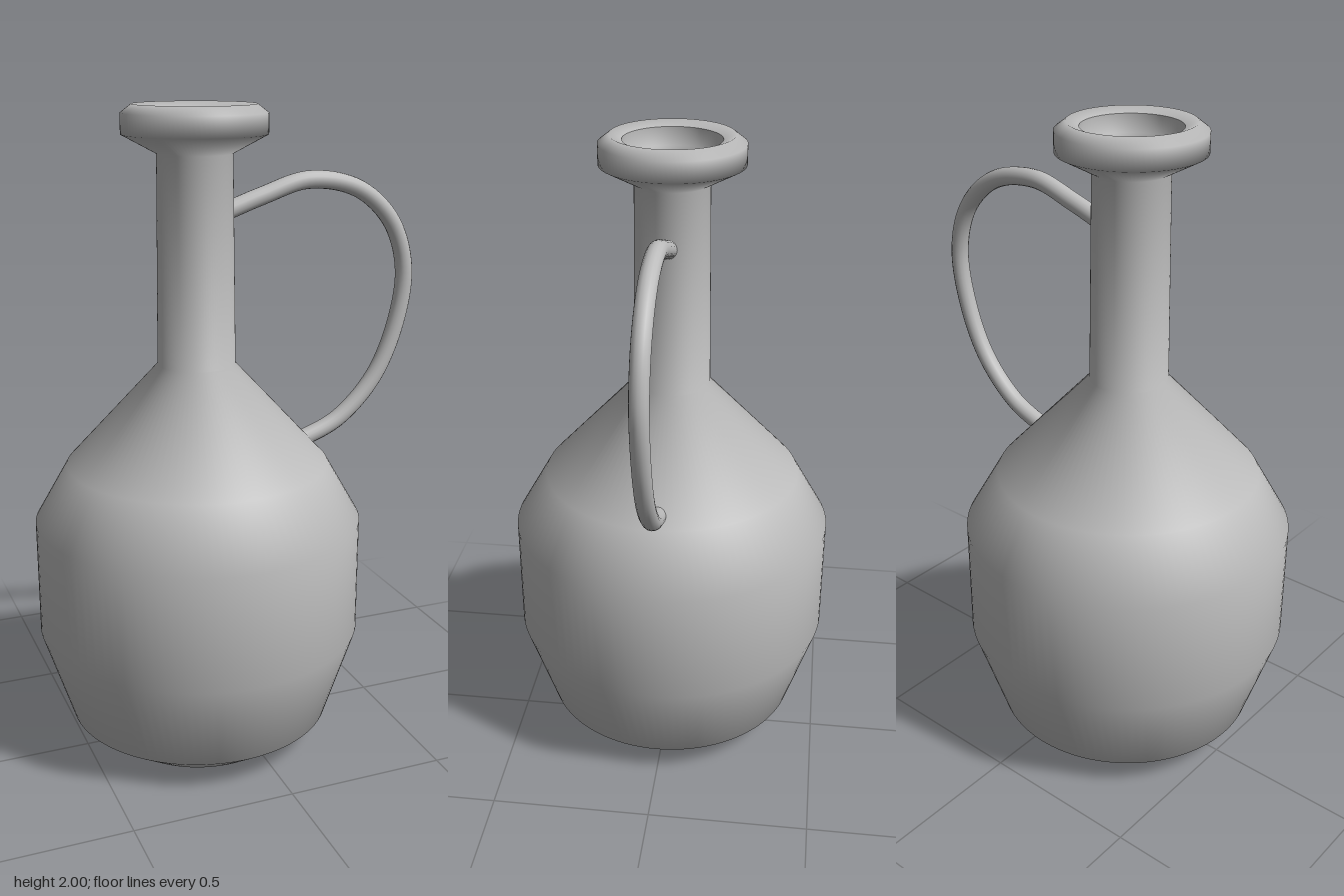
import * as THREE from 'three';

export function createModel() {
  const model = new THREE.Group();
  model.name = 'jug';
  const clay = new THREE.MeshStandardMaterial({ color: 0xbcbcbc });
  clay.name = 'grey clay';
  const axisX = -0.115;

  const add = (name, geometry, x = 0) => {
    const mesh = new THREE.Mesh(geometry, clay);
    mesh.name = name;
    mesh.position.x = x;
    model.add(mesh);
  };
  const lathe = (pts) => new THREE.LatheGeometry(pts.map(([r, y]) => new THREE.Vector2(r, y)), 96);

  // Outer body, neck and flared lip
  add('body', lathe([
    [0, 0], [0.28, 0], [0.415, 0.095], [0.508, 0.385], [0.508, 0.745], [0.405, 0.925],
    [0.119, 1.235], [0.112, 1.86], [0.215, 1.915], [0.215, 1.975], [0.182, 2],
    [0.145, 1.985],
  ]), axisX);

  // Hollow inside: mouth, neck wall and cavity
  add('innerWall', lathe([
    [0.145, 1.985], [0.145, 1.93], [0.092, 1.85], [0.09, 1.235], [0.375, 0.91],
    [0.475, 0.735], [0.475, 0.39], [0.385, 0.11], [0.27, 0.035],
  ]), axisX);
  add('innerFloor', lathe([[0.27, 0.035], [0, 0.035]]), axisX);

  // Looping side handle, its ends sunk into the neck and shoulder
  const path = new THREE.CatmullRomCurve3([
    [-0.015, 1.69], [0.1, 1.73], [0.25, 1.771], [0.42, 1.738], [0.54, 1.63], [0.589, 1.48],
    [0.565, 1.3], [0.49, 1.13], [0.37, 1.008], [0.26, 0.958], [0.21, 0.945],
  ].map(([x, y]) => new THREE.Vector3(x, y, 0)));
  add('handle', new THREE.TubeGeometry(path, 72, 0.0275, 16));

  return model;
}
